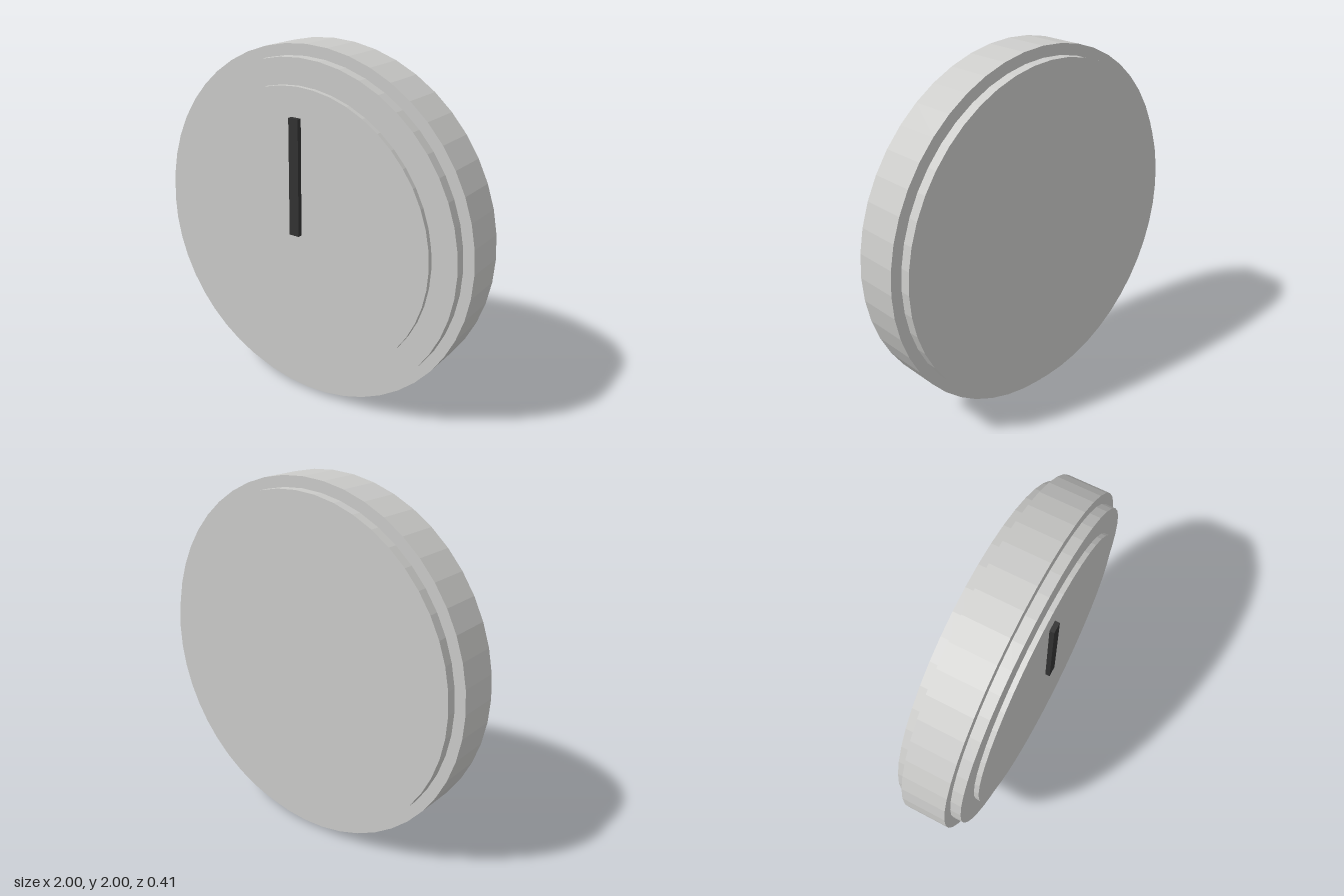
import * as THREE from 'three';

const SEGMENTS = 48;

export function createModel() {
  const model = new THREE.Group();
  model.name = 'roundDial';

  const paleGrey = new THREE.MeshStandardMaterial({ color: 0xccccca, flatShading: true });
  paleGrey.name = 'pale grey';
  const charcoal = new THREE.MeshStandardMaterial({ color: 0x333333, flatShading: true });
  charcoal.name = 'charcoal';

  // Disc facing +z, between two depths, centred at y = 1
  const disc = (name, radius, back, front) => {
    const geometry = new THREE.CylinderGeometry(radius, radius, front - back, SEGMENTS);
    geometry.rotateX(Math.PI / 2);
    const mesh = new THREE.Mesh(geometry, paleGrey);
    mesh.name = name;
    mesh.position.set(0, 1, (back + front) / 2);
    model.add(mesh);
  };

  // Stepped body from back to front
  disc('backPlate', 0.94, -0.205, -0.149);
  disc('outerRim', 1, -0.149, 0.093);
  disc('frontStep', 0.94, 0.093, 0.152);
  disc('dialFace', 0.8, 0.152, 0.179);

  // Pointer from the centre upwards
  const pointer = new THREE.Mesh(new THREE.BoxGeometry(0.06, 0.64, 0.026), charcoal);
  pointer.name = 'pointer';
  pointer.position.set(0, 1.32, 0.192);
  model.add(pointer);

  return model;
}
